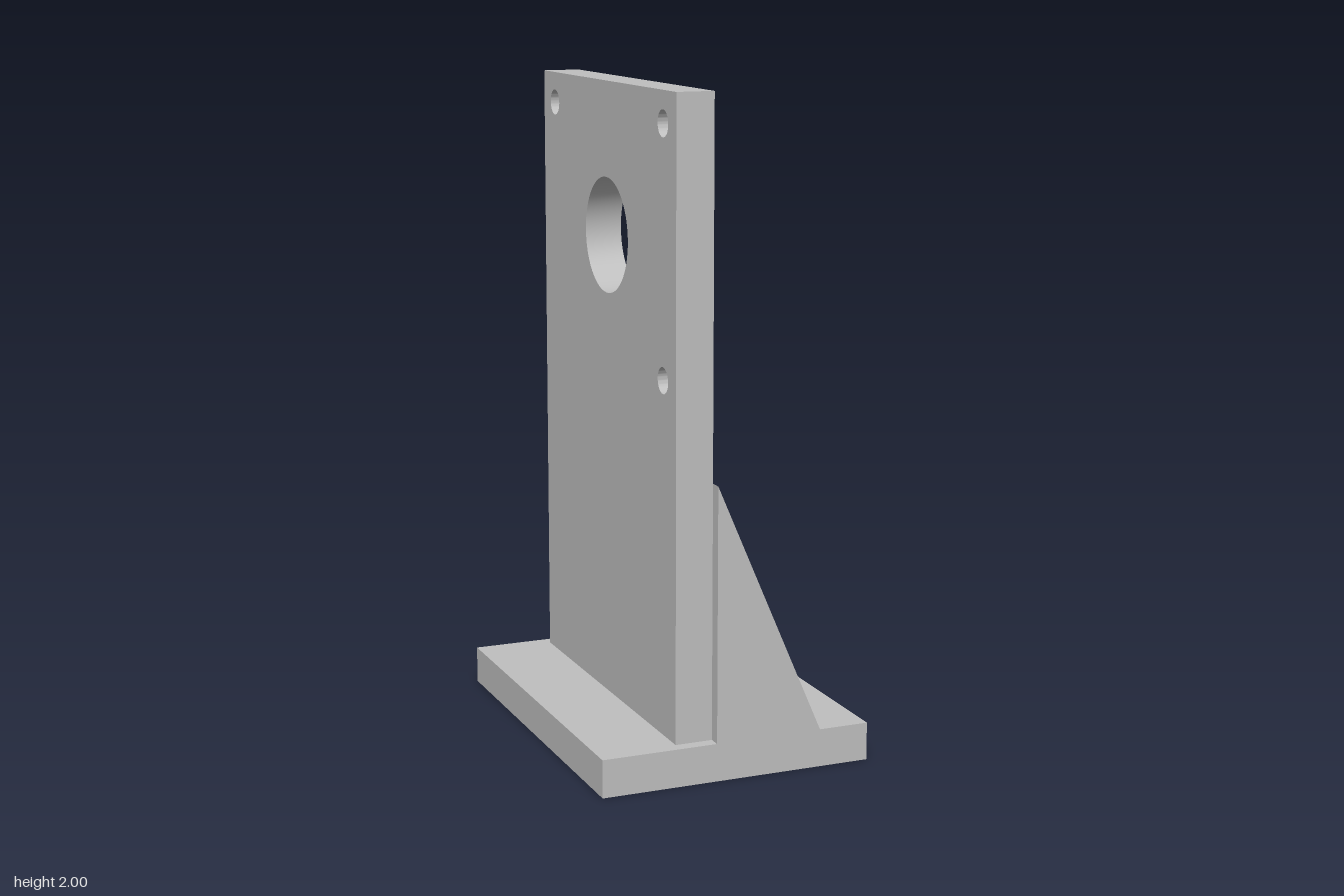
import * as THREE from 'three';
import { toCreasedNormals } from 'three/addons/utils/BufferGeometryUtils.js';

const BASE_H = 0.115;

function polygon(points) {
  return new THREE.Shape(points.map(([x, y]) => new THREE.Vector2(x, y)));
}

function extrude(shape, depth) {
  const geometry = new THREE.ExtrudeGeometry(shape, { depth, bevelEnabled: false, curveSegments: 32 });
  return toCreasedNormals(geometry, 0.6);
}

function roundHole(x, y, r) {
  return new THREE.Path().absarc(x, y, r, 0, Math.PI * 2, true);
}

// Slot with semicircular ends, running along x
function slotHole(x0, x1, y, r) {
  const path = new THREE.Path();
  path.absarc(x1 - r, y, r, -Math.PI / 2, Math.PI / 2, false);
  path.absarc(x0 + r, y, r, Math.PI / 2, Math.PI * 1.5, false);
  path.closePath();
  return path;
}

export function createModel() {
  const model = new THREE.Group();
  model.name = 'mountingBracket';
  const grey = new THREE.MeshStandardMaterial({ name: 'plain grey', color: 0xbfbfbf });

  const add = (name, geometry) => {
    const mesh = new THREE.Mesh(geometry, grey);
    mesh.name = name;
    model.add(mesh);
    return mesh;
  };

  // Base plate with two slots
  const base = polygon([[-0.423, -0.577], [0.423, -0.577], [0.423, 0.577], [-0.423, 0.577]]);
  for (const side of [-1, 1]) base.holes.push(slotHole(0.022, 0.284, side * 0.423, 0.054));
  add('basePlate', extrude(base, BASE_H).rotateX(-Math.PI / 2));

  // Upright plate, drawn in z and y, with one bore and three bolt holes
  const upright = polygon([[-0.539, BASE_H], [0.539, BASE_H], [0.539, 2], [-0.539, 2]]);
  upright.holes.push(roundHole(0, 1.541, 0.174));
  for (const [z, y] of [[0.442, 1.907], [-0.442, 1.907], [0.442, 1.176]]) {
    upright.holes.push(roundHole(z, y, 0.039));
  }
  add('uprightPlate', extrude(upright, 0.115).rotateY(-Math.PI / 2).translate(-0.066, 0, 0));

  // Triangular gussets at both ends
  const gusset = polygon([[-0.066, BASE_H], [0.267, BASE_H], [-0.066, 0.885]]);
  add('leftGusset', extrude(gusset, 0.077)).position.z = 0.5;
  add('rightGusset', extrude(gusset, 0.077)).position.z = -0.577;

  return model;
}
